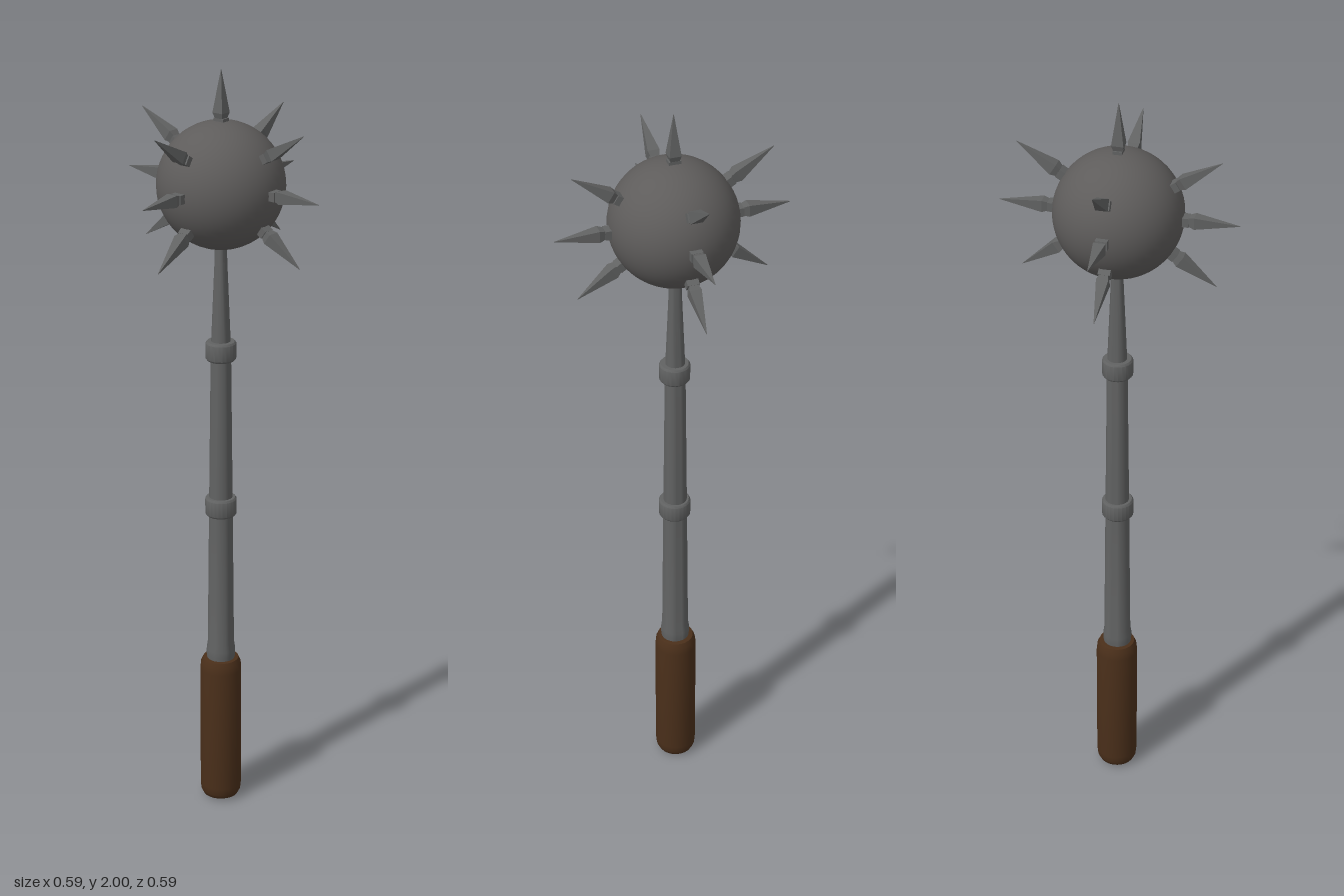
import * as THREE from 'three';
import { toCreasedNormals } from 'three/addons/utils/BufferGeometryUtils.js';

const BALL_Y = 1.715;

export function createModel() {
  const model = new THREE.Group();
  model.name = 'spikedMace';

  const material = (name, color) => {
    const m = new THREE.MeshStandardMaterial({ color });
    m.name = name;
    return m;
  };
  const iron = material('dark iron', 0x5e5c5b);
  const steel = material('grey steel', 0x616262);
  const leather = material('brown leather', 0x4a2f1a);

  const add = (parent, name, geometry, mat, x = 0, y = 0, z = 0) => {
    const mesh = new THREE.Mesh(geometry, mat);
    mesh.name = name;
    mesh.position.set(x, y, z);
    parent.add(mesh);
    return mesh;
  };

  // Turned profile given from bottom to top as [radius, height]
  const turned = (points, sides = 24) => toCreasedNormals(
    new THREE.LatheGeometry(points.map(([r, y]) => new THREE.Vector2(r, y)), sides), 0.7);

  // Grip with rounded ends
  add(model, 'grip', turned([
    [0, 0], [0.035, 0.002], [0.047, 0.008], [0.053, 0.02], [0.055, 0.04],
    [0.055, 0.385], [0.053, 0.405], [0.047, 0.418], [0.035, 0.42], [0, 0.42],
  ]), leather, 0.004, 0, -0.004);

  // Tapered shaft with a small flare where it meets the grip
  add(model, 'shaft', turned([
    [0.036, 0.41], [0.038, 0.43], [0.038, 0.445], [0.035, 0.465],
    [0.031, 0.85], [0.026, 1.28], [0.016, 1.52], [0.015, 1.6],
  ]), steel, 0.003, 0, -0.003);

  // Bevelled bands around the shaft
  for (const [name, y, r] of [['lowerBand', 0.858, 0.041], ['upperBand', 1.284, 0.039]]) {
    add(model, name, turned([
      [0.02, -0.025], [r - 0.004, -0.025], [r, -0.02],
      [r, 0.02], [r - 0.004, 0.025], [0.02, 0.025],
    ]), steel, 0.002, y, -0.002);
  }

  // Head
  add(model, 'ball', new THREE.SphereGeometry(0.16, 40, 28), iron, 0, BALL_Y, 0);

  // Square section tapering from one half-width to another, along y
  const taper = (half0, half1, y0, y1) => {
    const g = new THREE.CylinderGeometry(half1 * Math.SQRT2, half0 * Math.SQRT2, y1 - y0, 4);
    g.rotateY(Math.PI / 4);
    g.translate(0, (y0 + y1) / 2, 0);
    return toCreasedNormals(g, 0.3);
  };
  const collarShape = new THREE.BoxGeometry(0.023, 0.038, 0.03).translate(0, 0.155, 0);
  const flareShape = taper(0.0105, 0.015, 0.172, 0.188);
  const pointShape = taper(0.015, 0.0005, 0.188, 0.297);

  // Each spike is built along +y, then tilted outwards and turned about the ball
  const addSpike = (name, elevation, turn) => {
    const spike = new THREE.Group();
    spike.name = name;
    spike.position.y = BALL_Y;
    spike.rotation.order = 'YXZ';
    spike.rotation.set(0, turn, elevation - Math.PI / 2);
    add(spike, 'collar', collarShape, steel);
    add(spike, 'flare', flareShape, steel);
    add(spike, 'point', pointShape, steel);
    model.add(spike);
    return spike;
  };

  addSpike('topSpike', Math.PI / 2, 0).scale.y = 0.285 / 0.297;
  for (const [row, degrees] of [['upper', 32.5], ['middle', 0], ['lower', -35]]) {
    for (let i = 0; i < 4; i++) {
      addSpike(row + 'Spike' + (i + 1), THREE.MathUtils.degToRad(degrees), i * Math.PI / 2);
    }
  }
  return model;
}
